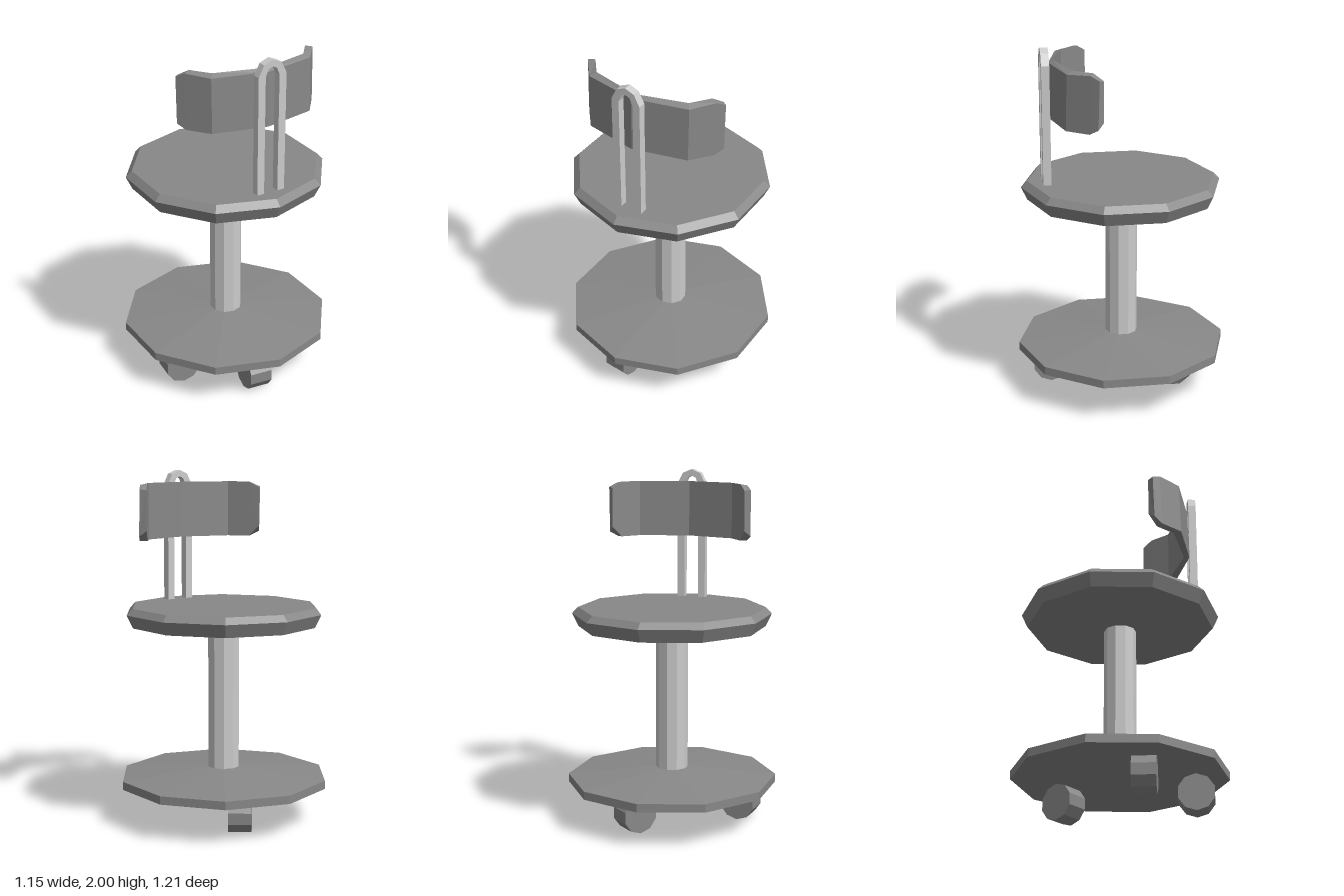
import * as THREE from 'three';

const SIDES = 10;

export function createModel() {
  const group = new THREE.Group();
  const metal = new THREE.MeshStandardMaterial({ color: 0xcccccc, flatShading: true });
  const dark = new THREE.MeshStandardMaterial({ color: 0x888888, flatShading: true });

  function add(name, geometry, material, x = 0, y = 0, z = 0) {
    const mesh = new THREE.Mesh(geometry, material);
    mesh.name = name;
    mesh.position.set(x, y, z);
    group.add(mesh);
    return mesh;
  }
  const lathe = (points) =>
    new THREE.LatheGeometry(points.map(([r, y]) => new THREE.Vector2(r, y)), SIDES);

  // Faceted disc base, pedestal and seat
  add('base', lathe([[0, 0.21], [0.603, 0.21], [0.603, 0.257], [0.09, 0.305], [0, 0.305]]), dark);
  add('pedestal', new THREE.CylinderGeometry(0.092, 0.092, 0.83, SIDES), metal, 0, 0.705, 0);
  add('seat', lathe([[0, 1.105], [0.09, 1.107], [0.535, 1.133], [0.57, 1.207], [0.535, 1.243], [0, 1.243]]), dark);

  // Three casters, each turned its own way: x, z, heading
  const wheel = new THREE.CylinderGeometry(0.104, 0.104, 0.13, SIDES).rotateX(Math.PI / 2);
  [[-0.385, 0.12, -0.1], [-0.055, 0.413, 1.47], [0.118, -0.31, 0.885]].forEach(([x, z, turn], i) => {
    add('caster' + (i + 1), wheel, dark, x, 0.104, z).rotation.y = turn;
  });

  // Hairpin bar holding the backrest
  const outer = [[-0.085, 1.2], [-0.085, 1.915], [-0.053, 1.978], [0, 2], [0.053, 1.978], [0.085, 1.915], [0.085, 1.2]];
  const inner = [[0.042, 1.2], [0.042, 1.91], [0.026, 1.95], [0, 1.963], [-0.026, 1.95], [-0.042, 1.91], [-0.042, 1.2]];
  const hairpin = new THREE.Shape([...outer, ...inner].map(([x, y]) => new THREE.Vector2(x, y)));
  add('backSupport', new THREE.ExtrudeGeometry(hairpin, { depth: 0.045, bevelEnabled: false }), metal, 0.0145, 0, 0.406);

  // Curved backrest: half the stations, mirrored
  // outer x, z, bottom, top, then inner x, z, bottom, top
  const half = [
    [0.427, 0.18, 1.64, 1.902, 0.398, 0.155, 1.672, 1.898],
    [0.395, 0.223, 1.612, 1.925, 0.36, 0.204, 1.612, 1.932],
    [0.305, 0.338, 1.612, 1.917, 0.282, 0.305, 1.612, 1.932],
  ];
  const stations = [
    ...half.map(([ox, oz, ob, ot, ix, ...rest]) => [-ox, oz, ob, ot, -ix, ...rest]),
    [0, 0.405, 1.612, 1.917, 0, 0.38, 1.612, 1.932],
    ...half.slice().reverse(),
  ];
  const positions = [];
  for (const [ox, oz, ob, ot, ix, iz, ib, it] of stations) {
    // outer bottom, outer top, inner top, inner bottom
    positions.push(ox, ob, oz + 0.008, ox, ot, oz, ix, it, iz, ix, ib, iz);
  }
  const index = [];
  for (let s = 0; s < stations.length - 1; s++) {
    for (let k = 0; k < 4; k++) {
      const a = s * 4 + k, d = s * 4 + (k + 1) % 4;
      index.push(a, a + 4, d, d, a + 4, d + 4);
    }
  }
  const e = (stations.length - 1) * 4;
  index.push(0, 1, 2, 0, 2, 3, e, e + 2, e + 1, e, e + 3, e + 2);
  const back = new THREE.BufferGeometry();
  back.setAttribute('position', new THREE.Float32BufferAttribute(positions, 3));
  back.setIndex(index);
  back.computeVertexNormals();
  add('backrest', back, dark, 0.019, 0, 0);

  return group;
}
